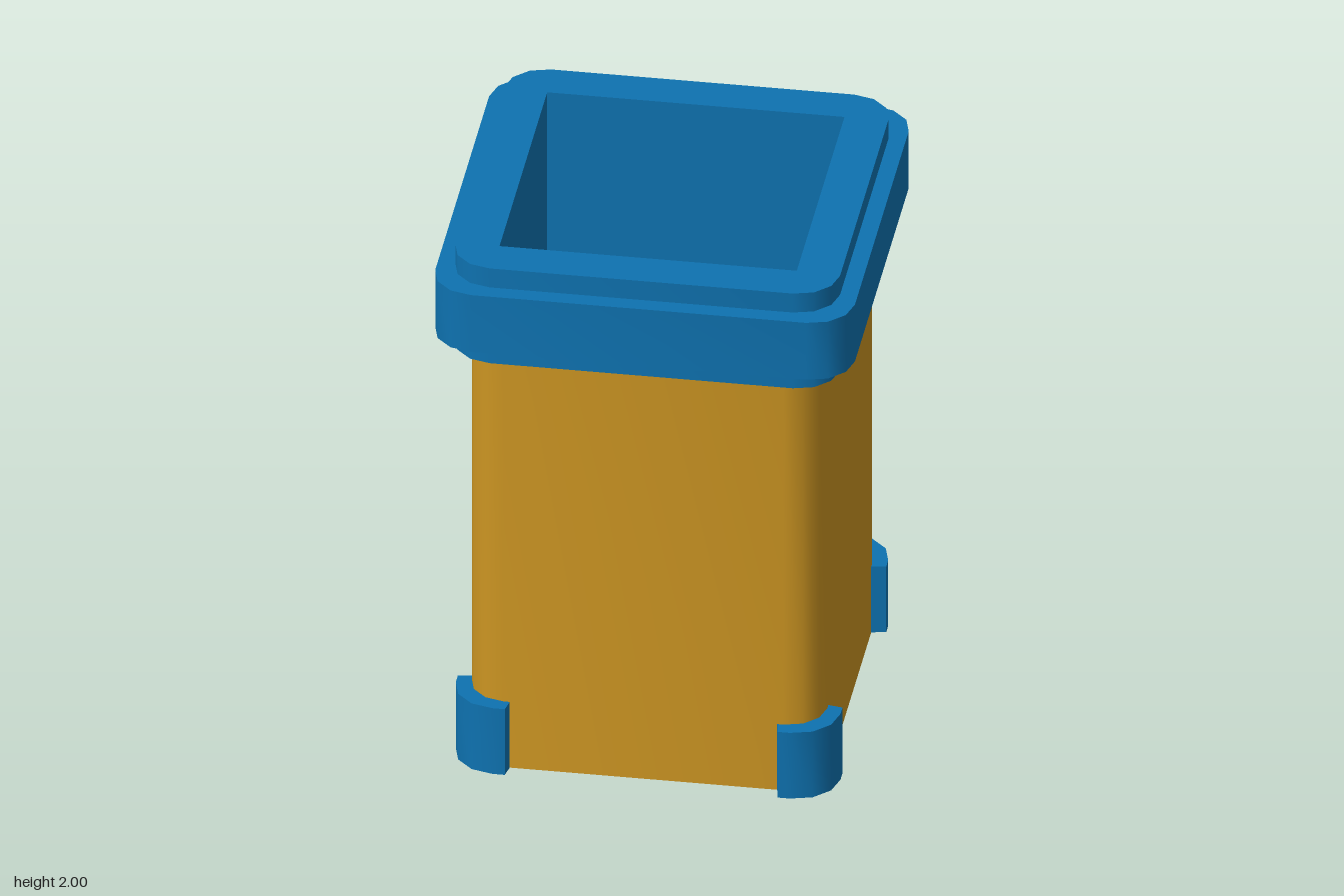
import * as THREE from 'three';
import { toCreasedNormals } from 'three/addons/utils/BufferGeometryUtils.js';

const blue = new THREE.MeshStandardMaterial({ color: 0x0e72b0 });
const amber = new THREE.MeshStandardMaterial({ color: 0xcc9522 });
blue.name = 'blue plastic';
amber.name = 'amber plastic';

// Points of one corner arc, in three segments
function cornerArc(half, radius, start) {
  const sx = Math.sign(Math.cos(start + Math.PI / 4));
  const sy = Math.sign(Math.sin(start + Math.PI / 4));
  return [0, 1, 2, 3].map((i) => {
    const a = start + (i * Math.PI) / 6;
    return new THREE.Vector2(
      sx * (half - radius) + radius * Math.cos(a),
      sy * (half - radius) + radius * Math.sin(a));
  });
}

function roundedSquare(half, radius) {
  return [0, 1, 2, 3].flatMap((q) => cornerArc(half, radius, (q * Math.PI) / 2));
}

function square(h) {
  return [[-h, -h], [h, -h], [h, h], [-h, h]].map(([x, y]) => new THREE.Vector2(x, y));
}

// Upright prism from a plan outline, between two heights
function prism(name, outline, hole, y0, y1, material) {
  const shape = new THREE.Shape(outline);
  if (hole) shape.holes.push(new THREE.Path(hole));
  const extruded = new THREE.ExtrudeGeometry(shape, { depth: y1 - y0, bevelEnabled: false });
  extruded.rotateX(-Math.PI / 2);
  extruded.translate(0, y0, 0);
  const mesh = new THREE.Mesh(toCreasedNormals(extruded, 0.6), material);
  mesh.name = name;
  return mesh;
}

export function createModel() {
  const model = new THREE.Group();
  model.name = 'bin';

  // Hollow body and its base
  model.add(prism('body', roundedSquare(0.61, 0.13), square(0.53), 0, 1.63, amber));
  model.add(prism('base', square(0.53), null, 0, 0.08, amber));

  // Inner lining and floor
  model.add(prism('lining', square(0.53), square(0.51), 0.08, 1.63, blue));
  model.add(prism('floor', square(0.51), null, 0.08, 0.1, blue));

  // Stepped rim
  model.add(prism('collar', roundedSquare(0.66, 0.14), square(0.51), 1.625, 2, blue));
  model.add(prism('rimBand', roundedSquare(0.72, 0.145), roundedSquare(0.65, 0.135), 1.7, 1.925, blue));

  // Corner guards wrapped around the foot of the body
  const guard = [
    new THREE.Vector2(0.66, 0.468),
    ...cornerArc(0.66, 0.15, 0),
    new THREE.Vector2(0.468, 0.66),
    new THREE.Vector2(0.458, 0.605),
    ...cornerArc(0.605, 0.13, 0).reverse(),
    new THREE.Vector2(0.605, 0.458),
  ];
  for (let i = 0; i < 4; i++) {
    const foot = prism('cornerGuard', guard, null, 0, 0.26, blue);
    foot.rotation.y = (i * Math.PI) / 2;
    model.add(foot);
  }
  return model;
}
